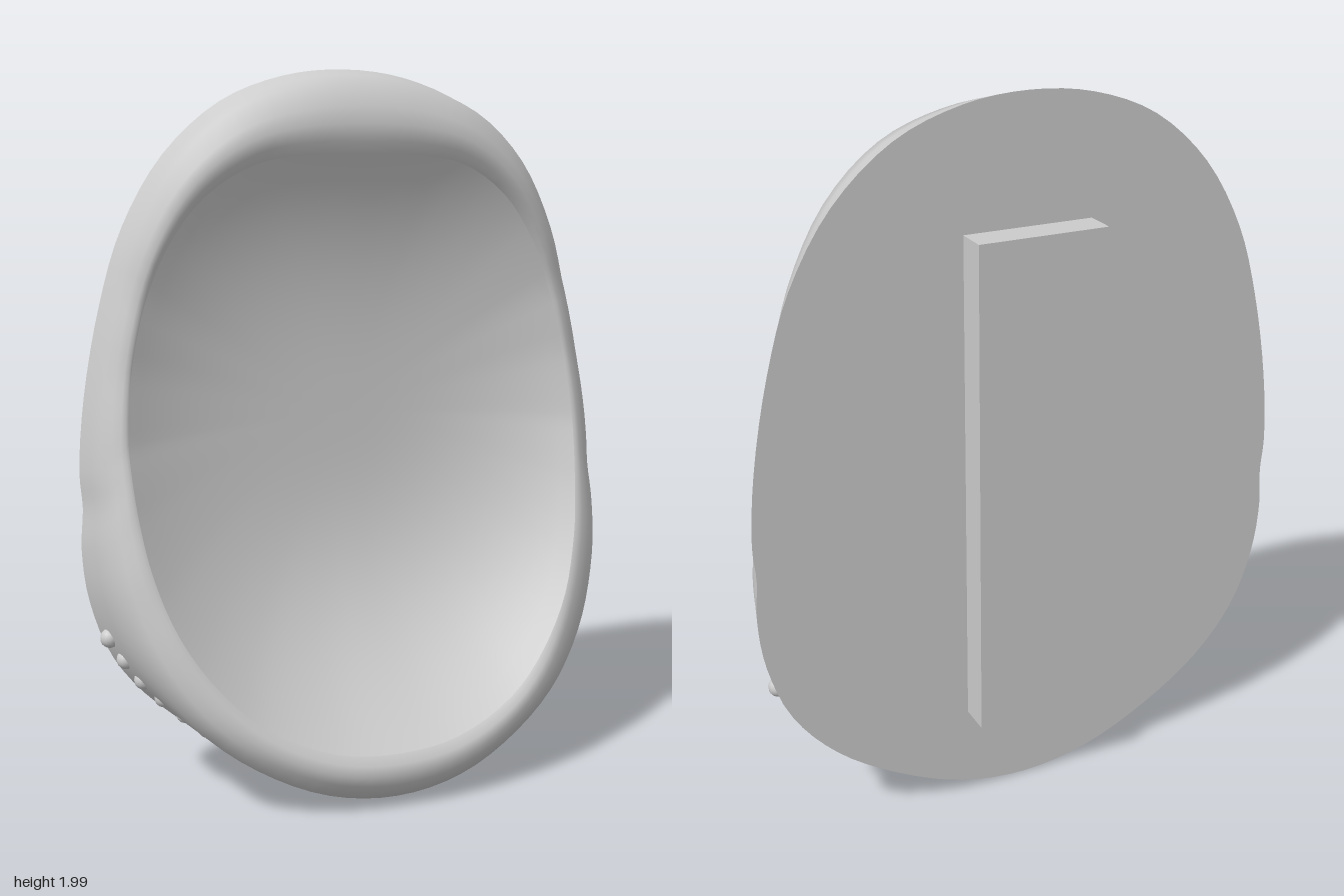
import * as THREE from 'three';

const BACK = -0.17;
const SEG = 120;

// Matched half outlines, bottom to top: outer x, outer y, inner x, inner y
const HALF = [
  [0, 0.012, 0, 0.165], [0.2, 0.042, 0.18, 0.185], [0.4, 0.132, 0.36, 0.265],
  [0.57, 0.252, 0.48, 0.375], [0.69, 0.4, 0.575, 0.52], [0.752, 0.57, 0.63, 0.68],
  [0.769, 0.72, 0.653, 0.82], [0.762, 0.83, 0.662, 0.93], [0.768, 0.93, 0.664, 1.02],
  [0.75, 1.13, 0.65, 1.17], [0.7, 1.38, 0.615, 1.34], [0.635, 1.58, 0.545, 1.52],
  [0.52, 1.77, 0.44, 1.66], [0.36, 1.91, 0.3, 1.745], [0.18, 1.98, 0.16, 1.768], [0, 2, 0, 1.77],
];

// Height and depth of the rim crest
const CREST = [
  [0, 0.26], [0.11, 0.26], [0.2, 0.225], [0.4, 0.15], [0.6, 0.08], [0.8, 0.02], [1, -0.03],
  [1.2, -0.06], [1.4, -0.068], [1.6, -0.045], [1.75, -0.02], [1.85, 0], [2, 0],
];

function crestZ(y) {
  let i = 0;
  while (i < CREST.length - 2 && y > CREST[i + 1][0]) i++;
  const [y0, z0] = CREST[i], [y1, z1] = CREST[i + 1];
  return THREE.MathUtils.mapLinear(y, y0, y1, z0, z1);
}

// Mirrored, smoothed closed outline, counterclockwise from the front
function outline(k) {
  const right = HALF.map((p) => new THREE.Vector3(p[k], p[k + 1], 0));
  const left = right.slice(1, -1).reverse().map((p) => new THREE.Vector3(-p.x, p.y, 0));
  const curve = new THREE.CatmullRomCurve3([...right, ...left], true);
  return Array.from({ length: SEG }, (_, j) => curve.getPoint(j / SEG));
}

// Skin a list of closed rings
function loft(rings) {
  const index = [];
  for (let i = 0; i < rings.length - 1; i++) {
    for (let j = 0; j < SEG; j++) {
      const n = (j + 1) % SEG;
      const a = i * SEG + j, b = i * SEG + n, c = b + SEG, d = a + SEG;
      index.push(a, b, c, a, c, d);
    }
  }
  const geo = new THREE.BufferGeometry().setFromPoints(rings.flat());
  geo.setIndex(index);
  geo.computeVertexNormals();
  return geo;
}

export function createModel() {
  const group = new THREE.Group();
  const material = new THREE.MeshStandardMaterial({ color: 0xcccccc });
  const add = (name, geo, parent = group) => {
    const mesh = new THREE.Mesh(geo, material);
    mesh.name = name;
    parent.add(mesh);
    return mesh;
  };

  const { smoothstep, lerp } = THREE.MathUtils;
  const outer = outline(0), inner = outline(2);
  // Blend weight: 1 along the sides, 0 at the crown and chin
  const flank = (y) => smoothstep(y, 0.05, 0.45) * (1 - smoothstep(y, 1.3, 1.9));
  // Ring between the outlines; fraction inward and depth below the crest are [end, side] pairs
  const rimRing = (f, drop) => outer.map((o, j) => {
    const w = flank(o.y);
    const p = o.clone().lerp(inner[j], lerp(f[0], f[1], w));
    const crestY = lerp(o.y, inner[j].y, lerp(0.65, 0.9, w));
    p.z = crestZ(crestY) - lerp(drop[0], drop[1], w);
    return p;
  });
  const backRing = outer.map((p) => new THREE.Vector3(p.x, p.y, BACK));
  const shoulder = rimRing([0.15, 0.34], [0.045, 0.035]);
  const wall = backRing.map((p, j) => p.clone().lerp(shoulder[j], 0.5));
  // The inner lip is the highest line along the sides and dips under the crown
  const innerRing = rimRing([1, 1], [0.025, 0.004]);

  // Rim: outer wall, shoulder, crest and inner lip
  add('rim', loft([
    backRing, wall, shoulder,
    rimRing([0.45, 0.58], [0.013, 0.012]),
    rimRing([0.65, 0.8], [0, 0.002]),
    rimRing([0.85, 0.92], [0.006, 0]),
    innerRing,
  ]));

  // Concave bowl inside the rim
  const centre = new THREE.Vector3(0, 1.05, -0.15);
  const bowlRings = [];
  for (let i = 0; i <= 20; i++) {
    const t = Math.max(1 - i / 20, 0.001);
    bowlRings.push(innerRing.map((p) => {
      const q = centre.clone().lerp(p, t);
      q.z = centre.z + (p.z - centre.z) * t ** 3;
      return q;
    }));
  }
  add('bowl', loft(bowlRings));

  // Flat back
  const hub = backRing.map((p) => new THREE.Vector3(p.x * 0.001, 1 + (p.y - 1) * 0.001, BACK));
  add('backPlate', loft([hub, backRing]));

  // Upright mounting bar on the back
  add('mountingBar', new THREE.BoxGeometry(0.36, 1.39, 0.1)).position.set(0, 0.965, -0.21);

  // Row of beads half sunk into the lower edge
  const beads = new THREE.Group();
  beads.name = 'beads';
  group.add(beads);
  const side = [[0.2, 0.068, 0.02], [0.382, 0.157, 0], [0.515, 0.254, -0.03], [0.628, 0.357, -0.08], [0.71, 0.475, -0.12]];
  const path = new THREE.CatmullRomCurve3([
    ...side.map(([x, y, z]) => new THREE.Vector3(-x, y, z)).reverse(),
    new THREE.Vector3(0, 0.035, 0.03),
    ...side.map(([x, y, z]) => new THREE.Vector3(x, y, z)),
  ]);
  const beadGeo = new THREE.SphereGeometry(0.027, 14, 10);
  for (const p of path.getSpacedPoints(24)) add('bead', beadGeo, beads).position.copy(p);

  return group;
}
